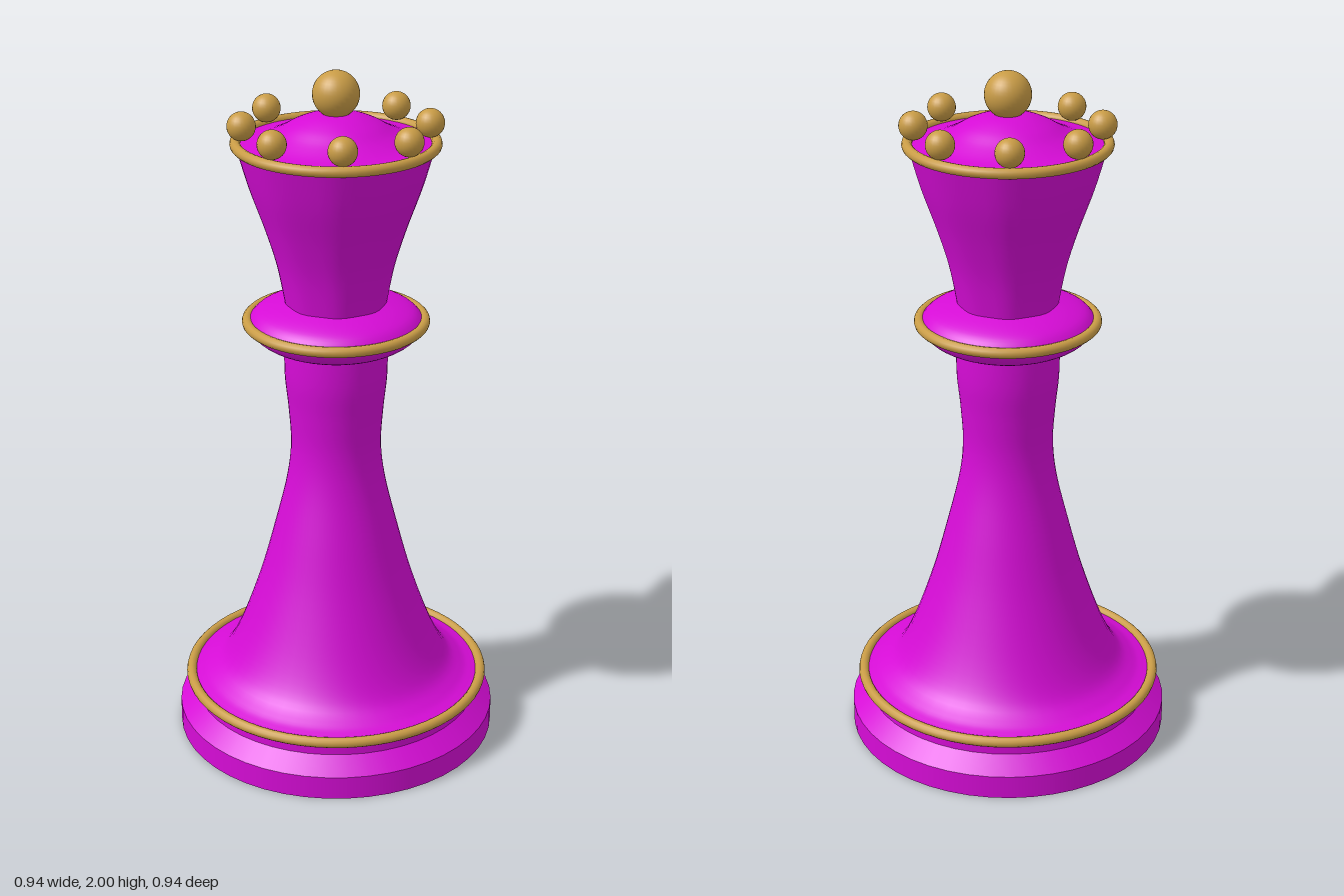
import * as THREE from 'three';

export function createModel() {
  const model = new THREE.Group();
  const magenta = new THREE.MeshStandardMaterial({ color: 0xd60cd6 });
  magenta.name = 'magenta';
  const gold = new THREE.MeshStandardMaterial({ color: 0xc99c46 });
  gold.name = 'gold';
  const SIDES = 48;

  const add = (name, geometry, material, x = 0, y = 0, z = 0) => {
    const mesh = new THREE.Mesh(geometry, material);
    mesh.name = name;
    mesh.position.set(x, y, z);
    model.add(mesh);
    return mesh;
  };

  // Turned section; smooth ones follow a spline through the [radius, height] points
  const turned = (name, points, steps = 0) => {
    let profile = points.map(([r, y]) => new THREE.Vector2(r, y));
    if (steps) profile = new THREE.SplineCurve(profile).getPoints(steps);
    profile.forEach((p) => { p.x = Math.max(p.x, 0); });
    return add(name, new THREE.LatheGeometry(profile, SIDES), magenta);
  };

  const ring = (name, radius, y) => {
    const geometry = new THREE.TorusGeometry(radius, 0.015, 12, 64);
    geometry.rotateX(Math.PI / 2);
    add(name, geometry, gold, 0, y);
  };

  // Base: one lathe per band keeps the edges crisp
  const base = [[0, 0], [0.47, 0], [0.47, 0.07], [0.42, 0.115], [0.42, 0.14], [0.435, 0.165], [0.38, 0.18]];
  for (let i = 0; i < base.length - 1; i++) turned('baseBand', [base[i], base[i + 1]]);
  ring('baseRing', 0.435, 0.165);

  // Flared stem
  turned('stem', [
    [0.41, 0.172], [0.378, 0.185], [0.33, 0.225], [0.28, 0.325], [0.222, 0.49],
    [0.178, 0.65], [0.142, 0.8], [0.13, 0.91], [0.136, 1.02], [0.146, 1.12], [0.147, 1.22],
  ], 48);

  // Collar: lens-shaped disc
  turned('collarUnderside', [[0.14, 1.21], [0.19, 1.223], [0.23, 1.248], [0.25, 1.285]], 12);
  turned('collarTop', [[0.25, 1.285], [0.225, 1.312], [0.185, 1.33], [0.13, 1.345]], 12);
  ring('collarRing', 0.25, 1.285);

  // Crown: flared cup with faint flutes
  const crown = turned('crown', [
    [0.141, 1.335], [0.163, 1.45], [0.196, 1.56], [0.238, 1.68], [0.272, 1.8],
  ], 20);
  const pos = crown.geometry.attributes.position;
  const normal = crown.geometry.attributes.normal;
  const seam = SIDES * 21;
  for (let i = 0; i < pos.count; i++) {
    const x = pos.getX(i), z = pos.getZ(i);
    const flute = 1 + 0.012 * Math.cos(8 * Math.atan2(z, x));
    pos.setX(i, x * flute);
    pos.setZ(i, z * flute);
  }
  crown.geometry.computeVertexNormals();
  // The first and last columns meet: average their normals
  for (let j = 0; j <= 20; j++) {
    const a = new THREE.Vector3().fromBufferAttribute(normal, j);
    a.add(new THREE.Vector3().fromBufferAttribute(normal, seam + j)).normalize();
    normal.setXYZ(j, a.x, a.y, a.z);
    normal.setXYZ(seam + j, a.x, a.y, a.z);
  }
  ring('crownRing', 0.275, 1.8);

  // Domed cap
  turned('cap', [
    [0.275, 1.8], [0.22, 1.808], [0.165, 1.83], [0.115, 1.858], [0.06, 1.878], [0, 1.885],
  ], 24);

  // Ball finial and eight crown pearls
  add('finial', new THREE.SphereGeometry(0.065, 32, 20), gold, 0, 1.935);
  const pearl = new THREE.SphereGeometry(0.04, 24, 16);
  for (let i = 0; i < 8; i++) {
    const a = (i * Math.PI) / 4;
    add('crownPearl', pearl, gold, 0.257 * Math.cos(a), 1.85, 0.257 * Math.sin(a));
  }
  return model;
}
